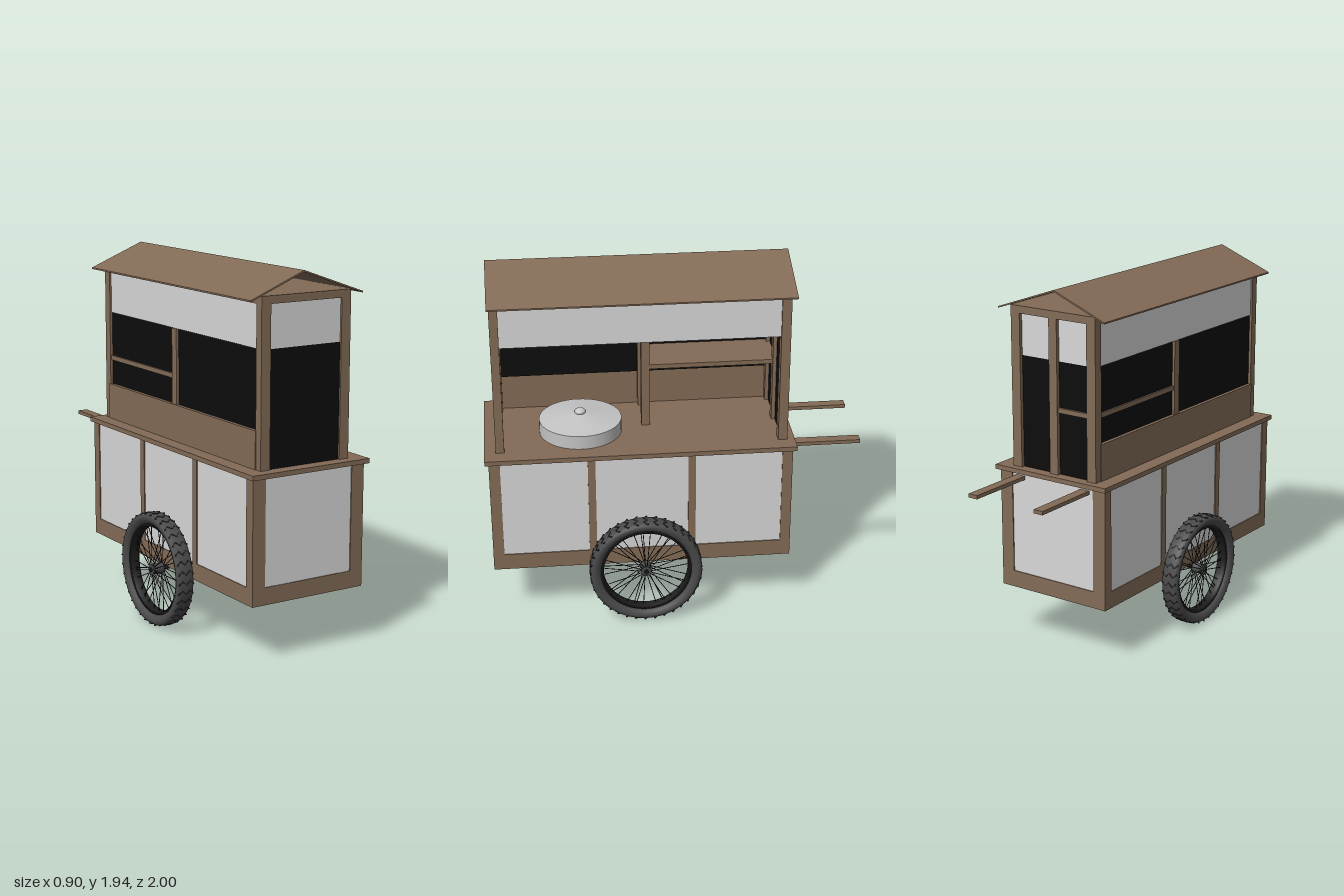
import * as THREE from 'three';

const mat = (name, color, extra = {}) => {
  const m = new THREE.MeshStandardMaterial({ color, ...extra });
  m.name = name;
  return m;
};

export function createModel() {
  const wood = mat('wood', 0x836b56);
  const white = mat('white panel', 0xd8d8d8);
  const glass = mat('dark glass', 0x0d0d0d);
  const rubber = mat('rubber', 0x4a4a4a);
  const tread = mat('tread groove', 0x2b2b2b);
  const black = mat('black metal', 0x1c1c1c);
  const steel = mat('steel', 0xc4c4c4);

  const model = new THREE.Group();
  model.name = 'foodCart';
  const add = (parent, name, geo, material) => {
    const mesh = new THREE.Mesh(geo, material);
    mesh.name = name;
    parent.add(mesh);
    return mesh;
  };
  const group = (name) => {
    const g = new THREE.Group();
    g.name = name;
    model.add(g);
    return g;
  };
  // Box given by its limits on each axis
  const box = (parent, name, material, [x0, x1], [y0, y1], [z0, z1]) => {
    const mesh = add(parent, name, new THREE.BoxGeometry(x1 - x0, y1 - y0, z1 - z0), material);
    mesh.position.set((x0 + x1) / 2, (y0 + y1) / 2, (z0 + z1) / 2);
    return mesh;
  };

  // Lower cabinet: white core with a slightly raised wooden frame
  const base = group('base');
  box(base, 'basePanels', white, [-0.335, 0.325], [0.35, 0.95], [-0.615, 0.975]);
  box(base, 'baseFloor', wood, [-0.34, 0.33], [0.305, 0.395], [-0.62, 0.98]);
  for (const x of [[-0.34, -0.265], [0.255, 0.33]])
    for (const z of [[-0.62, -0.565], [0.922, 0.98]])
      box(base, 'basePost', wood, x, [0.395, 0.95], z);
  for (const x of [[-0.34, -0.3], [0.29, 0.33]])
    for (const z of [[-0.105, -0.065], [0.425, 0.465]])
      box(base, 'baseDivider', wood, x, [0.395, 0.95], z);
  box(model, 'countertop', wood, [-0.355, 0.35], [0.95, 0.975], [-0.64, 1]);
  for (const x of [[-0.24, -0.185], [0.175, 0.23]])
    box(model, 'handle', wood, x, [0.915, 0.935], [-1, -0.6]);

  // Upper cabin frame
  const cabin = group('cabin');
  for (const x of [[-0.27, -0.215], [0.205, 0.26]]) {
    for (const z of [[-0.6, -0.55], [0.895, 0.94]])
      box(cabin, 'cornerPost', wood, x, [0.975, 1.79], z);
  }
  box(cabin, 'ceiling', wood, [-0.27, 0.26], [1.79, 1.83], [-0.6, 0.94]);
  box(cabin, 'backPost', wood, [-0.03, 0.02], [0.975, 1.79], [-0.6, -0.55]);
  box(cabin, 'innerPost', wood, [-0.03, 0.02], [0.975, 1.79], [0.11, 0.155]);
  box(cabin, 'sidePost', wood, [-0.27, -0.22], [0.975, 1.57], [0.11, 0.155]);
  box(cabin, 'shelf', wood, [-0.265, 0.015], [1.305, 1.33], [-0.595, 0.13]);
  box(cabin, 'sideBoard', wood, [-0.275, -0.255], [0.975, 1.17], [-0.56, 0.9]);

  // Panes: white above, dark glass below
  for (const z of [[-0.58, -0.57], [0.92, 0.93]]) {
    box(cabin, 'endHeader', white, [-0.215, 0.205], [1.57, 1.79], z);
    box(cabin, 'endGlass', glass, [-0.215, 0.205], [0.975, 1.57], z);
  }
  for (const x of [[-0.26, -0.25], [0.24, 0.25]])
    box(cabin, 'sideHeader', white, x, [1.57, 1.79], [-0.55, 0.895]);
  box(cabin, 'sideGlass', glass, [-0.255, -0.247], [1.17, 1.57], [-0.55, 0.895]);

  // Thin gable roof, open at both ends
  const roof = new THREE.Shape();
  [[-0.34, 1.808], [-0.03, 1.932], [0.325, 1.808], [0.325, 1.816], [-0.03, 1.941], [-0.34, 1.816]]
    .forEach(([x, y], i) => (i ? roof.lineTo(x, y) : roof.moveTo(x, y)));
  const roofGeo = new THREE.ExtrudeGeometry(roof, { depth: 1.57, bevelEnabled: false });
  add(model, 'roof', roofGeo, wood).position.z = -0.62;

  // Cooking pot with a conical lid and knob
  const pot = group('pot');
  pot.position.set(0.04, 0.975, 0.485);
  add(pot, 'potBody', new THREE.CylinderGeometry(0.22, 0.22, 0.075, 48), steel).position.y = 0.0375;
  add(pot, 'lid', new THREE.CylinderGeometry(0.03, 0.218, 0.03, 48), steel).position.y = 0.09;
  const knob = add(pot, 'knob', new THREE.SphereGeometry(0.03, 20, 12), steel);
  knob.scale.y = 0.6;
  knob.position.y = 0.112;

  // Spoked wheels, built around the y axis and then laid on their sides
  const v = (r, y) => new THREE.Vector2(r, y);
  const tyreProfile = [v(0.242, -0.025), v(0.255, -0.04), v(0.275, -0.049), v(0.292, -0.045), v(0.3, -0.032),
    v(0.302, 0), v(0.3, 0.032), v(0.292, 0.045), v(0.275, 0.049), v(0.255, 0.04), v(0.242, 0.025), v(0.242, -0.025)];
  const rimProfile = [v(0.228, -0.022), v(0.244, -0.028), v(0.244, 0.028), v(0.228, 0.022), v(0.228, -0.022)];
  const spokeGeo = new THREE.CylinderGeometry(0.0022, 0.0022, 1, 5);
  const grooveGeo = new THREE.BoxGeometry(0.005, 0.031, 0.007);
  const up = new THREE.Vector3(0, 1, 0);

  for (const side of [-1, 1]) {
    const wheel = group(side > 0 ? 'leftWheel' : 'rightWheel');
    wheel.position.set(side * 0.4 - 0.003, 0.305, 0.17);
    wheel.rotation.z = -side * Math.PI / 2;
    add(wheel, 'tyre', new THREE.LatheGeometry(tyreProfile, 64), rubber);
    add(wheel, 'rim', new THREE.LatheGeometry(rimProfile, 64), black);
    add(wheel, 'hub', new THREE.CylinderGeometry(0.028, 0.028, 0.07, 24), rubber);
    add(wheel, 'axle', new THREE.CylinderGeometry(0.012, 0.012, 0.12, 16), black).position.y = -0.015;

    // Spokes alternate between the two hub flanges
    for (let i = 0; i < 36; i++) {
      const a = (i / 36) * Math.PI * 2;
      const b = a + (i % 4 < 2 ? 0.06 : -0.06);
      const from = new THREE.Vector3(Math.cos(a) * 0.025, i % 2 ? 0.03 : -0.03, Math.sin(a) * 0.025);
      const to = new THREE.Vector3(Math.cos(b) * 0.232, 0, Math.sin(b) * 0.232);
      const dir = to.clone().sub(from);
      const spoke = add(wheel, 'spoke', spokeGeo, black);
      spoke.position.copy(from).add(to).multiplyScalar(0.5);
      spoke.scale.y = dir.length();
      spoke.quaternion.setFromUnitVectors(up, dir.normalize());
    }

    // Zigzag tread across the crown
    for (let i = 0; i < 36; i++) {
      const turn = new THREE.Group();
      turn.name = 'treadRow';
      turn.rotation.y = (i / 36) * Math.PI * 2;
      wheel.add(turn);
      [-0.033, -0.011, 0.011, 0.033].forEach((y, k) => {
        const groove = add(turn, 'treadGroove', grooveGeo, tread);
        groove.position.set(Math.abs(y) > 0.02 ? 0.298 : 0.301, y, 0);
        groove.rotation.x = k % 2 ? 0.75 : -0.75;
      });
    }
  }
  return model;
}
